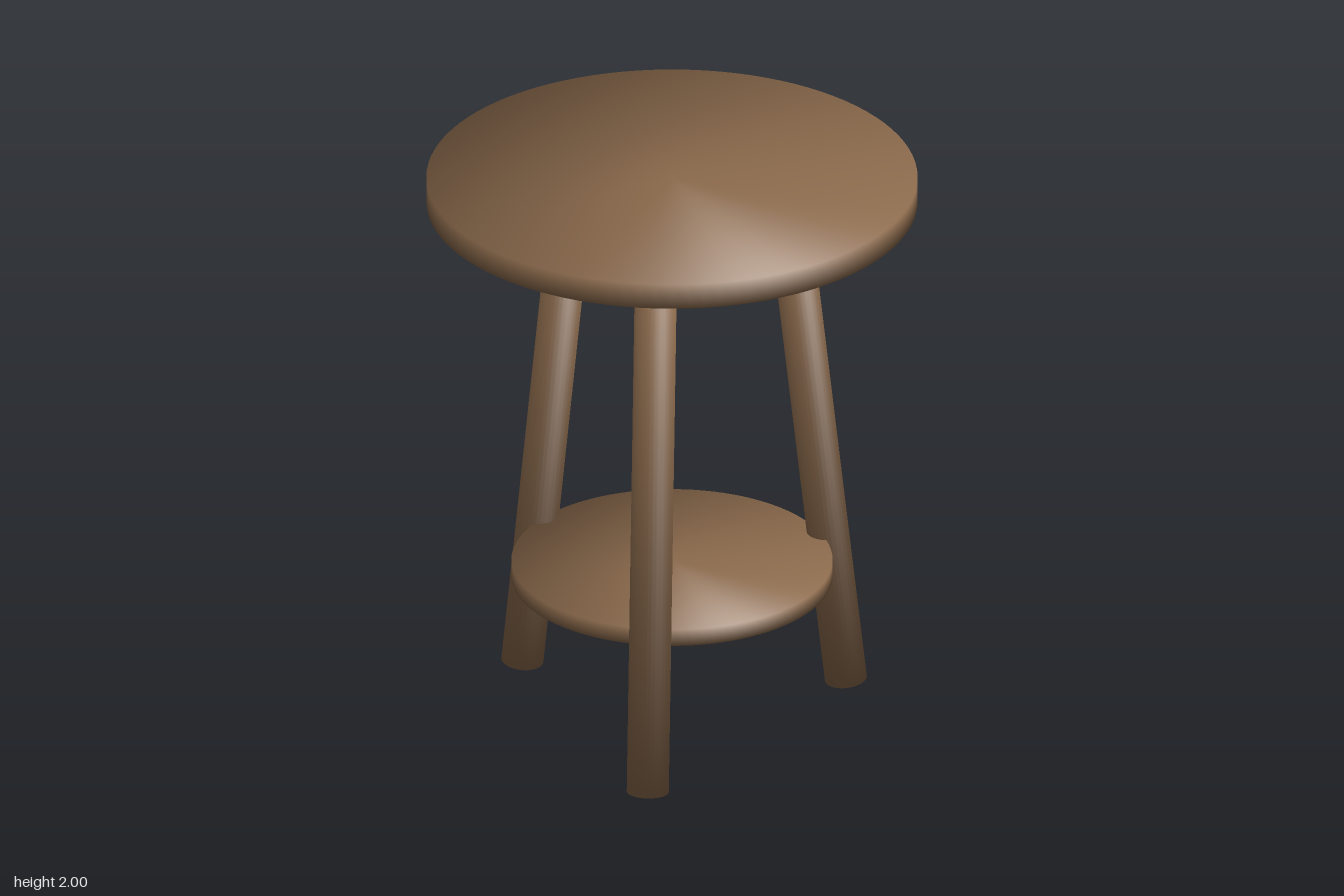
import * as THREE from 'three';

const wood = new THREE.MeshStandardMaterial({ color: 0x8b6a4c });
wood.name = 'brown wood';

// Solid round part centred on the origin, with shading that runs smoothly over its rims
function roundPart(name, radius, height, segments) {
  const h = height / 2;
  const profile = [[0, -h], [radius, -h], [radius, h], [0, h]].map(([x, y]) => new THREE.Vector2(x, y));
  const geometry = new THREE.LatheGeometry(profile, segments);
  const { position, normal } = geometry.attributes;
  const n = new THREE.Vector3();
  for (let i = 0; i < position.count; i++) {
    n.set(position.getX(i) / radius, Math.sign(position.getY(i)), position.getZ(i) / radius).normalize();
    normal.setXYZ(i, n.x, n.y, n.z);
  }
  const mesh = new THREE.Mesh(geometry, wood);
  mesh.name = name;
  return mesh;
}

export function createModel() {
  const stool = new THREE.Group();
  stool.name = 'stool';

  // Round seat
  const seat = roundPart('seat', 0.826, 0.09, 96);
  seat.position.y = 1.955;
  stool.add(seat);

  // Lower round shelf between the legs
  const shelf = roundPart('shelf', 0.54, 0.06, 96);
  shelf.position.y = 0.54;
  stool.add(shelf);

  // Three splayed legs, the first towards +x
  const foot = new THREE.Vector2(0.633, 0.008);
  const top = new THREE.Vector2(0.412, 1.902);
  ['leftLeg', 'backRightLeg', 'frontRightLeg'].forEach((name, i) => {
    const pivot = new THREE.Group();
    pivot.name = name;
    pivot.rotation.y = (i * Math.PI * 2) / 3;
    const leg = roundPart(name + 'Post', 0.071, foot.distanceTo(top), 32);
    leg.position.set((foot.x + top.x) / 2, (foot.y + top.y) / 2, 0);
    leg.rotation.z = Math.atan2(foot.x - top.x, top.y - foot.y);
    pivot.add(leg);
    stool.add(pivot);
  });

  return stool;
}
